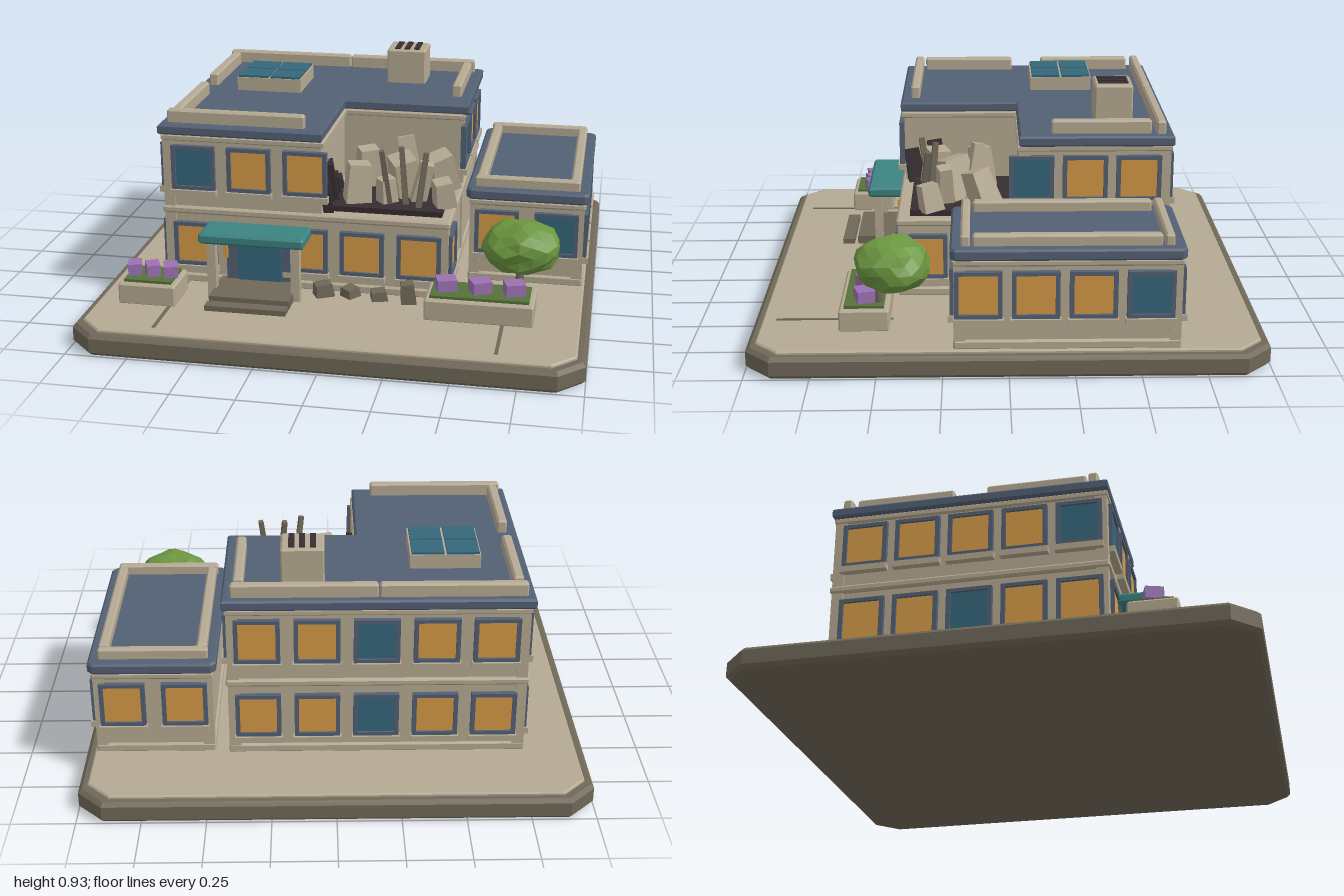
import * as THREE from 'three';

const mat = (name, color, flat = false) => {
  const m = new THREE.MeshStandardMaterial({ color });
  m.name = name;
  m.flatShading = flat;
  return m;
};

export function createModel() {
  const M = {
    stone: mat('tan stone', 0xb5a992),
    dark: mat('dark stone', 0x6f6858),
    slate: mat('slate blue', 0x536074),
    amber: mat('amber glass', 0xd59a48),
    glass: mat('teal glass', 0x35677b),
    canopy: mat('canopy teal', 0x3b827f),
    leaf: mat('leaf green', 0x6c9640, true),
    grass: mat('planting green', 0x56713a),
    flower: mat('flower purple', 0x9b70b2),
    char: mat('charcoal', 0x362d31),
  };
  const model = new THREE.Group();
  model.name = 'damagedOfficeBuilding';

  const add = (name, geo, m, parent = model) => {
    const mesh = new THREE.Mesh(geo, m);
    mesh.name = name;
    parent.add(mesh);
    return mesh;
  };
  // Box given by its limits on each axis
  const box = (name, m, x0, x1, y0, y1, z0, z1, parent = model) => {
    const b = add(name, new THREE.BoxGeometry(x1 - x0, y1 - y0, z1 - z0), m, parent);
    b.position.set((x0 + x1) / 2, (y0 + y1) / 2, (z0 + z1) / 2);
    return b;
  };
  // Flat slab with a chamfered edge, from a ground outline of [x, z] points
  const slab = (name, m, pts, y0, y1, c = 0.008) => {
    const shape = new THREE.Shape(pts.map(([x, z]) => new THREE.Vector2(x, -z)));
    const geo = new THREE.ExtrudeGeometry(shape, {
      depth: y1 - y0 - 2 * c, bevelThickness: c, bevelSize: c, bevelOffset: -c, bevelSegments: 1,
    });
    geo.rotateX(-Math.PI / 2).translate(0, y0 + c, 0);
    return add(name, geo, m);
  };
  // Rectangle outline with cut corners
  const cut = (x0, x1, z0, z1, k) => [
    [x0 + k, z1], [x1 - k, z1], [x1, z1 - k], [x1, z0 + k],
    [x1 - k, z0], [x0 + k, z0], [x0, z0 + k], [x0, z1 - k],
  ];
  const bar = (name, x0, x1, y0, y1, z0, z1) => slab(name, M.stone, cut(x0, x1, z0, z1, 0.006), y0, y1, 0.008);

  // Ground plinth and paving
  slab('plinth', M.dark, cut(-1, 1, -1, 1, 0.1), 0, 0.087, 0.015);
  slab('paving', M.stone, cut(-0.965, 0.965, -0.965, 0.965, 0.09), 0.08, 0.1, 0.006);
  for (const s of [-1, 1]) box('pavingJoint', M.dark, s * 0.665 - 0.007, s * 0.665 + 0.007, 0.095, 0.103, 0.45, 0.91);

  // Main block: full ground floor, L-shaped upper floor
  const L = (o) => [[-0.745 - o, 0.43 + o], [-0.095 + o, 0.43 + o], [-0.095 + o, -0.055 + o],
    [0.415 + o, -0.055 + o], [0.415 + o, -0.65 - o], [-0.745 - o, -0.65 - o]];
  box('groundFloorWalls', M.stone, -0.745, 0.415, 0.09, 0.41, -0.65, 0.43);
  bar('baseBand', -0.755, 0.425, 0.095, 0.135, -0.66, 0.44);
  bar('floorBand', -0.76, 0.43, 0.4, 0.432, -0.665, 0.445);
  slab('upperFloorWalls', M.stone, L(0), 0.42, 0.745, 0.001);
  slab('eavesBand', M.stone, L(0.012), 0.712, 0.737, 0.005);
  slab('mainRoof', M.slate, [[-0.77, 0.445], [-0.09, 0.445], [-0.09, -0.05], [0.44, -0.05],
    [0.44, -0.67], [-0.77, -0.67]], 0.735, 0.778);
  for (const [x, z, top] of [[-0.73, 0.415, 0.72], [-0.73, -0.635, 0.72], [0.4, -0.635, 0.72], [0.4, 0.415, 0.41], [0.4, -0.07, 0.72]])
    box('cornerPilaster', M.stone, x - 0.023, x + 0.023, 0.1, top, z - 0.023, z + 0.023);

  // Main roof parapets
  for (const [x0, x1, z0, z1] of [
    [-0.74, -0.17, -0.637, -0.6], [-0.165, 0.405, -0.637, -0.6], [-0.74, -0.17, 0.365, 0.403],
    [-0.727, -0.687, -0.58, -0.18], [-0.727, -0.687, -0.045, 0.355], [0.355, 0.395, -0.58, -0.18],
  ]) bar('roofParapet', x0, x1, 0.77, 0.832, z0, z1);

  // Side wing
  box('wingWalls', M.stone, 0.49, 0.945, 0.09, 0.47, -0.64, 0.2);
  bar('wingBaseBand', 0.48, 0.955, 0.095, 0.135, -0.65, 0.21);
  bar('wingEavesBand', 0.48, 0.957, 0.43, 0.46, -0.652, 0.212);
  slab('wingRoof', M.slate, cut(0.467, 0.97, -0.66, 0.22, 0.02), 0.457, 0.502);
  for (const [x0, x1, z0, z1] of [[0.5, 0.93, -0.615, -0.58], [0.5, 0.93, 0.145, 0.18],
    [0.505, 0.545, -0.57, 0.135], [0.89, 0.93, -0.57, 0.135]]) bar('wingParapet', x0, x1, 0.495, 0.546, z0, z1);
  for (const x of [0.505, 0.93]) for (const z of [-0.625, 0.185])
    box('wingPilaster', M.stone, x - 0.022, x + 0.022, 0.1, 0.44, z - 0.022, z + 0.022);

  // Windows: hollow frame, thin pane and sill, facing +z before turning
  const rect = (C, w, h) => new C([[-w, -h], [w, -h], [w, h], [-w, h]].map((p) => new THREE.Vector2(...p)));
  const frameShape = rect(THREE.Shape, 0.09, 0.093);
  frameShape.holes.push(rect(THREE.Path, 0.073, 0.078));
  const frameGeo = new THREE.ExtrudeGeometry(frameShape, { depth: 0.022, bevelEnabled: false });
  const win = (x, y, z, turn, m) => {
    const g = new THREE.Group();
    g.name = 'window';
    add('windowFrame', frameGeo, M.slate, g);
    box('windowPane', m, -0.076, 0.076, -0.08, 0.08, 0.004, 0.012, g);
    box('windowSill', M.stone, -0.095, 0.095, -0.119, -0.094, -0.005, 0.03, g);
    g.position.set(x, y, z);
    g.rotation.y = turn;
    model.add(g);
  };
  const XS = [-0.625, -0.393, -0.16, 0.072, 0.305];
  const ZS = [-0.53, -0.315, -0.1, 0.115, 0.33];
  const Q = Math.PI / 2, A = M.amber, G = M.glass, LOW = 0.272, UP = 0.602, WING = 0.32;
  XS.forEach((x, i) => {
    if (i !== 1) win(x, LOW, 0.43, 0, A);
    if (i < 3) win(x, UP, 0.43, 0, i === 0 ? G : A);
    for (const y of [LOW, UP]) win(x, y, -0.65, Math.PI, i === 2 ? G : A);
  });
  ZS.forEach((z, i) => {
    win(-0.745, LOW, z, -Q, i === 2 ? G : A);
    win(-0.745, UP, z, -Q, i === 4 ? G : A);
    if (i === 4) win(0.415, LOW, z, Q, A);
    if (i < 3) win(0.415, UP, z, Q, i === 2 ? G : A);
    if (i < 4) win(0.945, WING, z, Q, i === 0 ? G : A);
  });
  [0.595, 0.84].forEach((x, i) => {
    win(x, WING, 0.2, 0, i ? G : A);
    win(x, WING, -0.64, Math.PI, A);
  });

  // Entrance: door, lamps, posts, canopy and steps
  box('doorFrame', M.slate, -0.49, -0.21, 0.1, 0.335, 0.42, 0.46);
  box('door', M.glass, -0.44, -0.26, 0.13, 0.325, 0.458, 0.467);
  for (const s of [-1, 1]) {
    const x = -0.35 + s * 0.173;
    box('entrancePost', M.stone, x - 0.018, x + 0.018, 0.1, 0.34, 0.54, 0.575);
    box('entranceLamp', M.amber, -0.35 + s * 0.142 - 0.009, -0.35 + s * 0.142 + 0.009, 0.23, 0.3, 0.455, 0.475);
  }
  slab('canopy', M.canopy, cut(-0.57, -0.135, 0.44, 0.6, 0.008), 0.333, 0.378, 0.01);
  box('upperStep', M.dark, -0.515, -0.185, 0.095, 0.135, 0.44, 0.655);
  box('lowerStep', M.dark, -0.515, -0.185, 0.095, 0.122, 0.67, 0.722);

  // Planters with flowers
  const planter = (x0, x1, z0, z1, xs) => {
    bar('planter', x0, x1, 0.095, 0.187, z0, z1);
    box('planting', M.grass, x0 + 0.02, x1 - 0.02, 0.18, 0.198, z0 + 0.02, z1 - 0.02);
    xs.forEach((x, i) => {
      const f = box('flowers', M.flower, x - 0.034, x + 0.034, 0.197, 0.245, -0.035, 0.035);
      f.position.z = (z0 + z1) / 2;
      f.scale.x = xs[1] - xs[0] < 0.1 ? 0.8 : 1.15;
      f.rotation.y = 0.3 + (i % 2) * 0.15;
    });
  };
  planter(-0.875, -0.64, 0.52, 0.71, [-0.832, -0.757, -0.682]);
  planter(0.355, 0.785, 0.46, 0.655, [0.432, 0.567, 0.702]);

  // Tree with a lumpy faceted crown
  const crown = new THREE.IcosahedronGeometry(1, 2);
  const p = crown.attributes.position, v = new THREE.Vector3();
  for (let i = 0; i < p.count; i++) {
    v.fromBufferAttribute(p, i);
    v.multiplyScalar(0.97 + 0.09 * Math.sin(v.x * 5 + 1) * Math.cos(v.z * 4 + v.y * 5));
    p.setXYZ(i, v.x, v.y, v.z);
  }
  crown.computeVertexNormals();
  const tree = add('treeCrown', crown, M.leaf);
  tree.scale.set(0.16, 0.108, 0.152);
  tree.position.set(0.717, 0.355, 0.447);
  add('treeTrunk', new THREE.CylinderGeometry(0.014, 0.02, 0.14, 7), M.dark).position.set(0.717, 0.24, 0.5);

  // Skylight and rooftop vent unit
  box('skylightFrame', M.stone, -0.582, -0.3, 0.77, 0.836, -0.387, -0.12);
  for (const x of [-0.576, -0.436]) for (const z of [-0.381, -0.249])
    box('skylightPane', M.glass, x, x + 0.13, 0.82, 0.845, z, z + 0.123);
  bar('ventUnit', 0.04, 0.212, 0.77, 0.928, -0.522, -0.365);
  for (const x of [0.085, 0.127, 0.169]) box('ventSlot', M.char, x - 0.012, x + 0.012, 0.926, 0.933, -0.505, -0.38);

  // Collapsed corner: burnt floor, torn wall edge and rubble
  box('burntFloor', M.char, -0.06, 0.39, 0.425, 0.455, -0.035, 0.39);
  const chunk = (name, m, x, y, z, w, h, d, rx, ry, rz) => {
    const c = add(name, new THREE.CylinderGeometry(0.62, 0.74, 1, 4).rotateY(Math.PI / 4).toNonIndexed(), m);
    c.geometry.computeVertexNormals();
    c.scale.set(w, h, d);
    c.position.set(x, y, z);
    c.rotation.set(rx, ry, rz);
  };
  for (const [y, z, h] of [[0.5, 0.39, 0.15], [0.53, 0.29, 0.17], [0.48, 0.2, 0.1], [0.46, 0.13, 0.07]])
    chunk('tornWallEdge', M.char, -0.083, y, z, 0.04, h, 0.07, 0.15, 0.2, 0.1);
  for (const r of [
    [0.04, 0.535, 0.1, 0.09, 0.17, 0.08, 0.1, 0.5, 0], [0.03, 0.53, 0.29, 0.1, 0.16, 0.1, -0.05, 0.35, -0.05],
    [0.15, 0.505, 0.3, 0.07, 0.11, 0.06, 0.1, 0.7, 0.05], [0.21, 0.54, 0.2, 0.11, 0.17, 0.12, 0.2, 0.5, 0.15],
    [0.22, 0.57, 0.13, 0.08, 0.23, 0.05, -0.2, 0.2, 0.2], [0.35, 0.53, 0.1, 0.11, 0.17, 0.09, 0.25, 0.6, 0.15],
    [0.385, 0.51, 0.31, 0.08, 0.11, 0.08, 0.15, 0.4, 0.1], [0.29, 0.53, 0.25, 0.06, 0.17, 0.06, 0.1, 0.3, -0.25],
  ]) chunk('rubbleBlock', M.stone, ...r);
  for (const [x, z, rx, rz, h] of [[0.15, 0.33, 0.12, 0.12, 0.25], [0.22, 0.3, -0.12, 0.1, 0.25], [0.3, 0.33, -0.1, -0.12, 0.24]])
    chunk('brokenBeam', M.dark, x, 0.44 + h / 2, z, 0.024, h, 0.026, rx, 0.2, rz);
  for (const [x, z, w, h, t] of [[-0.08, 0.485, 0.075, 0.06, 0.5], [0.03, 0.475, 0.06, 0.045, 0.9], [0.15, 0.485, 0.065, 0.045, 0.3], [0.27, 0.495, 0.06, 0.09, 0.2]])
    chunk('fallenRubble', M.dark, x, 0.095 + h / 2, z, w, h, 0.06, 0.05, t, 0.08);

  return model;
}
